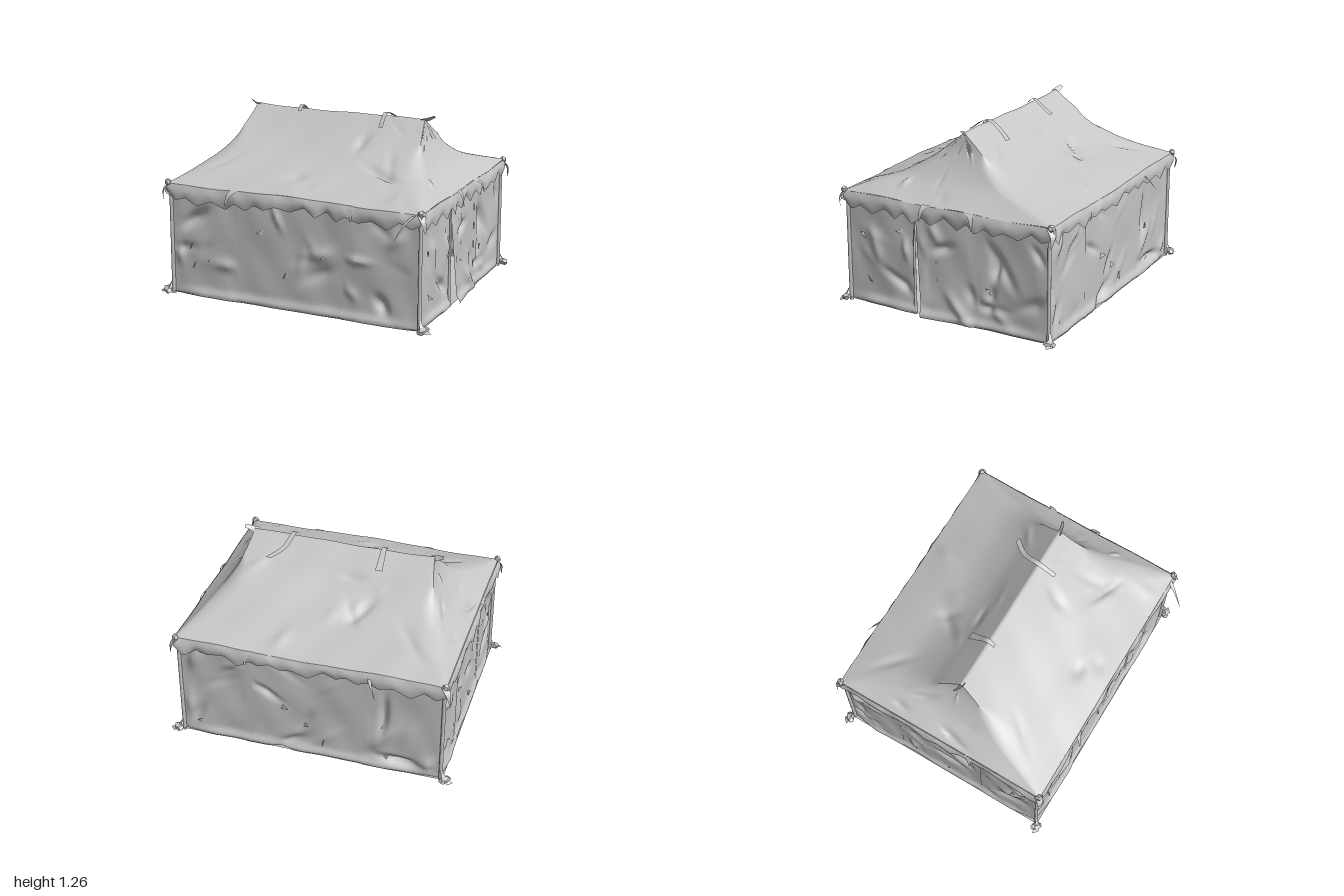
import * as THREE from 'three';
import { mergeGeometries, mergeVertices } from 'three/addons/utils/BufferGeometryUtils.js';

const canvas = new THREE.MeshStandardMaterial({ color: 0xc6c6c6, side: THREE.DoubleSide });
canvas.name = 'greyCanvas';

// Footprint of the walls
const X = 0.91, ZF = 0.73, ZB = -0.795;

function rng(seed) {
  return () => ((seed = (seed * 16807) % 2147483647) / 2147483647);
}

// Gentle cloth unevenness, continuous over the whole tent
const wave = (a, b) =>
  0.5 * Math.sin(5.1 * a + 2.3 * b) + 0.3 * Math.sin(9.7 * b - 4.3 * a + 1) + 0.2 * Math.sin(17 * a + 11 * b);

// Slanted, uneven puckers in a patch of the given size
function puckers(seed, count, w, h, depth) {
  const r = rng(seed);
  const list = Array.from({ length: count }, () => ({
    a: w * (0.08 + 0.84 * r()), b: h * (0.08 + 0.8 * r()), d: (r() - 0.6) * depth,
    t: r() * Math.PI, l: 0.06 + 0.08 * r(), s: 0.022 + 0.02 * r(),
  }));
  return (a, b) => list.reduce((sum, p) => {
    const da = a - p.a, db = b - p.b;
    const i = (da * Math.cos(p.t) + db * Math.sin(p.t)) / p.l;
    const j = (db * Math.cos(p.t) - da * Math.sin(p.t)) / p.s;
    return sum + p.d * Math.exp(-i * i - j * j);
  }, 0);
}

function mesh(name, geometry) {
  const m = new THREE.Mesh(geometry, canvas);
  m.name = name;
  return m;
}

// Cloth patch from a rule (u, v) -> [x, y, z]
function patch(nu, nv, rule) {
  const pos = [], idx = [];
  for (let j = 0; j <= nv; j++)
    for (let i = 0; i <= nu; i++) pos.push(...rule(i / nu, j / nv));
  for (let j = 0; j < nv; j++)
    for (let i = 0; i < nu; i++) {
      const a = j * (nu + 1) + i, b = a + nu + 1;
      idx.push(a, a + 1, b, a + 1, b + 1, b);
    }
  const g = new THREE.BufferGeometry();
  g.setAttribute('position', new THREE.Float32BufferAttribute(pos, 3));
  g.setIndex(idx);
  return g;
}
function sheet(name, nu, nv, rule) {
  const g = patch(nu, nv, rule);
  g.computeVertexNormals();
  return mesh(name, g);
}

// Sides, counter-clockwise seen from above, with outward direction
const sides = [
  { name: 'front', a: [-X, ZF], b: [X, ZF], n: [0, 1] },
  { name: 'left', a: [X, ZF], b: [X, ZB], n: [1, 0] },
  { name: 'back', a: [X, ZB], b: [-X, ZB], n: [0, -1] },
  { name: 'right', a: [-X, ZB], b: [-X, ZF], n: [-1, 0] },
];
const along = (s, u, out) => [
  s.a[0] + (s.b[0] - s.a[0]) * u + s.n[0] * out,
  s.a[1] + (s.b[1] - s.a[1]) * u + s.n[1] * out,
];
const span = (s) => (s.n[1] ? 2 * X : ZF - ZB);

// Wall panel from u0 to u1; slant and push open its first edge towards the ground
function wall(s, name, u0, u1, seed, inset, slant = 0, push = 0) {
  const w = span(s), pucker = puckers(seed, 7, w * (u1 - u0), 0.78, 0.08);
  return sheet(name, 40, 44, (t, v) => {
    const y = 0.012 + 0.78 * v;
    const start = u0 + slant * (1 - v);
    const u = start + (u1 - start) * t;
    const hold = Math.min(1, 6 * t, 6 * (1 - t));
    let out = (0.009 * wave(u * 2 + seed, y * 1.3) + pucker((u - u0) * w, y)) * hold - inset;
    out += 0.022 * Math.exp(-(((y - 0.03) / 0.03) ** 2)) * Math.min(1, 8 * u, 8 * (1 - u));
    const p = along(s, u, out + push * (1 - v) * (1 - t));
    return [p[0], y, p[1]];
  });
}

// Ragged valance below the eaves, its teeth uneven in width and drop
function valance(s, seed) {
  const r = rng(seed), n = s.n[1] ? 11 : 10;
  const drop = Array.from({ length: n * 2 + 1 }, (_, i) => (i % 2 ? 0.095 + 0.045 * r() : 0.06 + 0.03 * r()));
  const flare = drop.map(() => 0.03 * (r() - 0.2));
  return sheet(s.name + 'Valance', n * 8, 6, (u, v) => {
    const f = (u + 0.012 * Math.sin(u * Math.PI * 6)) * n * 2;
    const i = Math.min(Math.floor(f), n * 2 - 1), k = f - i;
    const d = THREE.MathUtils.lerp(drop[i], drop[i + 1], k);
    const out = 0.023 + 0.01 * Math.sin(Math.PI * v) + v * THREE.MathUtils.lerp(flare[i], flare[i + 1], k);
    const p = along(s, -0.014 + 1.028 * u, out);
    return [p[0], 0.8 + 0.008 * wave(p[0], p[1]) - d * v, p[1]];
  });
}

// Roof profile: half length, height, front z, back z
const rows = [
  [0.93, 0.8, 0.757, -0.82],
  [0.845, 0.865, 0.59, -0.63],
  [0.77, 0.935, 0.41, -0.43],
  [0.7, 1.04, 0.23, -0.25],
  [0.66, 1.13, 0.11, -0.14],
  [0.635, 1.235, -0.012, -0.012],
];
const profile = (k) => new THREE.CatmullRomCurve3(rows.map((q) => new THREE.Vector3(q[0], q[1], q[k])));
const profF = profile(2), profB = profile(3);

// One roof slope; the hips are rounded halfway and sharp at the ridge and eaves
function roofSlope(s, seed) {
  const w = span(s), pucker = puckers(seed, 9, w, 0.9, 0.06);
  return patch(72, 44, (u, v) => {
    const f = profF.getPoint(v), b = profB.getPoint(v);
    const corner = (c) => [Math.sign(c[0]) * f.x, c[1] > 0 ? f.z : b.z];
    const p = corner(s.a), q = corner(s.b);
    let x = p[0] + (q[0] - p[0]) * u, z = p[1] + (q[1] - p[1]) * u;
    const round = 0.12 * Math.sin(Math.PI * Math.min(1, v / 0.75));
    if (round > 0.001) {
      const cx = THREE.MathUtils.clamp(x, round - f.x, f.x - round);
      const cz = THREE.MathUtils.clamp(z, b.z + round, f.z - round);
      const k = round / Math.hypot(x - cx, z - cz);
      x = cx + (x - cx) * k;
      z = cz + (z - cz) * k;
    }
    const hold = Math.min(1, 8 * u, 8 * (1 - u), 8 * v, 8 * (1 - v));
    const sag = s.n[1] ? 0.01 * v * Math.sin(Math.PI * u) : 0;
    return [x, f.y + 0.01 * wave(x, z) - sag + pucker(u * w, v * 0.9) * hold, z];
  });
}

// Flat strap or loose cloth end that tapers along a curve
function strap(name, points, w0, w1, across) {
  const c = new THREE.CatmullRomCurve3(points.map((p) => new THREE.Vector3(...p)));
  return sheet(name, 2, 10, (u, v) => {
    const p = c.getPoint(v), w = (w0 + (w1 - w0) * v) * (u - 0.5);
    return [p.x + across[0] * w, p.y + across[1] * w, p.z + across[2] * w];
  });
}

// Knotted scrap of cloth
function knot(name, x, y, z, sx, sy, sz, turn) {
  const m = mesh(name, new THREE.DodecahedronGeometry(1, 0));
  m.position.set(x, y, z);
  m.scale.set(sx, sy, sz);
  m.rotation.set(0.2, turn, 0.25 * Math.sign(x));
  return m;
}

export function createModel() {
  const tent = new THREE.Group();
  tent.name = 'tent';

  // Ground sheet with its rim curling up
  tent.add(sheet('groundSheet', 40, 36, (u, v) => {
    const rim = Math.max(Math.abs(2 * u - 1), Math.abs(2 * v - 1));
    const x = (2 * u - 1) * (X + 0.022), z = ZB - 0.022 + (ZF - ZB + 0.044) * v;
    return [x, 0.008 + 0.005 * wave(x, z) * (1 - rim) + 0.016 * rim ** 14, z];
  }));

  // Roof
  const roof = mergeVertices(mergeGeometries(sides.map((s, i) => roofSlope(s, 101 + i * 13))));
  roof.computeVertexNormals();
  tent.add(mesh('roof', roof));

  // Walls in three panels; the left wall carries the door flap
  sides.forEach((s, i) => {
    const cuts = i === 1 ? [0, 0.343, 0.655, 1] : [0, 0.277, 0.703, 1];
    for (let k = 0; k < 3; k++) {
      const door = i === 1 && k === 1, lap = k === 1 ? 0.005 : 0;
      tent.add(wall(s, door ? 'doorFlap' : s.name + 'Wall', cuts[k] - (door ? 0 : lap), cuts[k + 1] + lap,
        11 + i * 7 + k * 3, k === 1 ? 0.004 : 0, door ? 0.042 : 0, door ? 0.045 : 0));
    }
    tent.add(valance(s, 41 + i * 9));
    // Small torn scraps standing off the cloth
    const r = rng(301 + i * 17);
    for (let k = 0; k < 6; k++) {
      const u = 0.08 + 0.84 * r(), y = 0.08 + 0.5 * r(), du = (r() - 0.5) * 0.07, dy = (r() - 0.5) * 0.07;
      const pts = [0, 1, 2].map((j) => {
        const p = along(s, u + du * j * 0.5, 0.004 + 0.008 * j);
        return [p[0], y + dy * j * 0.5, p[1]];
      });
      tent.add(strap('tornScrap', pts, 0.05, 0.004, [0.3 * s.n[1], 0.9, 0.3 * s.n[0]]));
    }
  });

  // Rolled edge of the door opening
  const edge = mesh('doorEdge', new THREE.CylinderGeometry(0.006, 0.011, 0.72, 8));
  edge.position.set(X + 0.006, 0.37, 0.208);
  tent.add(edge);

  // Corner poles, foot and eave knots, loose cloth points
  for (const sx of [-1, 1])
    for (const z of [ZF, ZB]) {
      const sz = Math.sign(z);
      const pole = mesh('cornerPole', new THREE.CylinderGeometry(0.012, 0.014, 0.79, 8));
      pole.position.set(sx * (X + 0.006), 0.4, z + sz * 0.004);
      tent.add(pole);
      tent.add(knot('footKnot', sx * 0.95, 0.031, z + sz * 0.026, 0.046, 0.026, 0.03, sx * sz * 0.75));
      tent.add(knot('eaveKnot', sx * 0.927, 0.802, z + sz * 0.022, 0.026, 0.025, 0.022, sx * sz * 0.75));
      tent.add(strap('footFlap', [[sx * 0.92, 0.1, z + sz * 0.012], [sx * 0.945, 0.05, z + sz * 0.03], [sx * 0.99, 0.02, z + sz * 0.045]],
        0.012, 0.05, [0.7, 0, -0.7 * sx * sz]));
      tent.add(strap('eaveTie', [[sx * 0.92, 0.8, z + sz * 0.015], [sx * 0.95, 0.75, z + sz * 0.045], [sx * 0.96, 0.68, z + sz * 0.035]],
        0.06, 0.01, [0.7, 0, -0.7 * sx * sz]));
    }

  // Twisted canvas ends of the ridge
  for (const sx of [-1, 1])
    tent.add(strap('ridgeEnd', [[sx * 0.61, 1.215, -0.012], [sx * 0.655, 1.23, -0.015], [sx * 0.7, 1.25, -0.03]], 0.05, 0.025, [0, 0.7, 0.7]));

  // Straps tied over the ridge
  tent.add(strap('ridgeStrap', [[-0.29, 1.21, 0.03], [-0.29, 1.248, -0.02], [-0.29, 1.2, -0.09], [-0.29, 1.15, -0.16]], 0.025, 0.05, [1, 0, 0]));
  tent.add(strap('ridgeStrap', [[0.36, 1.17, 0.11], [0.35, 1.25, -0.02], [0.38, 1.2, -0.14], [0.46, 1.165, -0.24]], 0.03, 0.04, [1, 0, 0.2]));

  // Loose cords and scraps hanging from the eaves
  tent.add(strap('looseCord', [[0.88, 0.79, 0.75], [0.84, 0.74, 0.82], [0.8, 0.65, 0.89]], 0.035, 0.002, [1, 0.2, 0]));
  tent.add(strap('looseCord', [[-0.41, 0.79, -0.81], [-0.44, 0.73, -0.86], [-0.48, 0.66, -0.9]], 0.035, 0.002, [1, 0.2, 0]));
  for (const [x, z, ox, oz] of [[-0.41, 0.76, -0.05, 0.04], [0.42, 0.76, 0.03, 0.02], [0.93, -0.22, 0.05, -0.05], [0.93, 0.1, 0.05, 0.03], [-0.93, 0.2, -0.03, 0.03], [0.4, -0.82, 0.03, -0.02]])
    tent.add(strap('eaveScrap', [[x, 0.8, z], [x + ox * 0.6, 0.77, z + oz * 0.6], [x + ox, 0.7, z + oz]], 0.06, 0.01,
      Math.abs(x) > 0.9 ? [0, 0, 1] : [1, 0, 0]));

  return tent;
}
